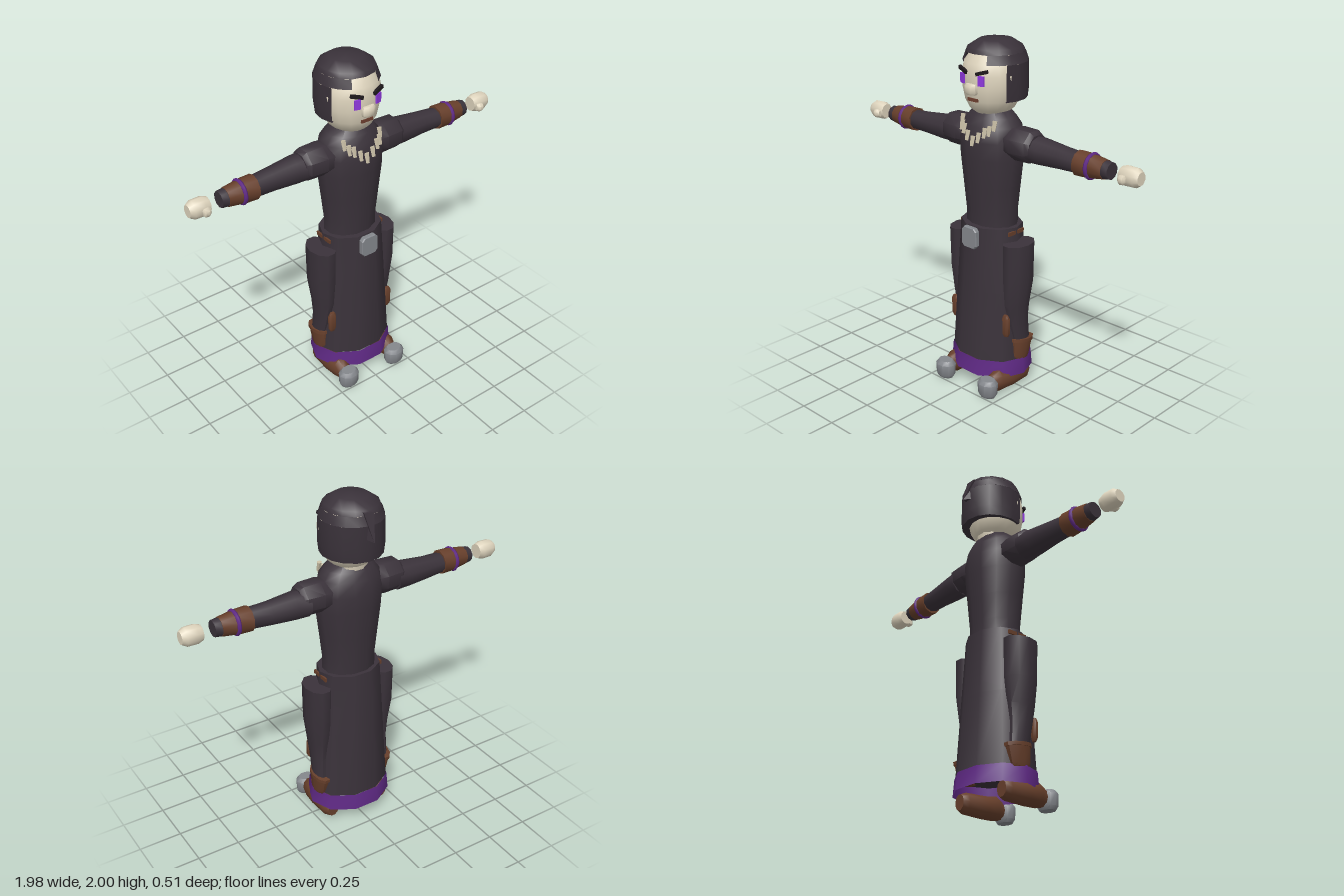
import * as THREE from 'three';
import { toCreasedNormals } from 'three/addons/utils/BufferGeometryUtils.js';

const mat = (name, color) => new THREE.MeshStandardMaterial({ name, color, side: THREE.DoubleSide });

// Closed skin through horizontal ellipses [y, rx, rz, cx, cz]
function loft(rings, n = 12, caps = true) {
  const pos = [], idx = [];
  for (const [y, rx, rz, cx = 0, cz = 0] of rings)
    for (let i = 0; i < n; i++) {
      const a = ((i + 0.5) / n) * Math.PI * 2;
      pos.push(cx + Math.sin(a) * rx, y, cz + Math.cos(a) * rz);
    }
  for (let j = 0; j < rings.length - 1; j++)
    for (let i = 0; i < n; i++) {
      const k = (i + 1) % n, a = j * n + i, b = j * n + k;
      idx.push(a, b, b + n, a, b + n, a + n);
    }
  if (caps) {
    const top = (rings.length - 1) * n;
    for (let i = 1; i < n - 1; i++) idx.push(0, i + 1, i, top, top + i, top + i + 1);
  }
  const g = new THREE.BufferGeometry();
  g.setAttribute('position', new THREE.Float32BufferAttribute(pos, 3));
  g.setIndex(idx);
  return toCreasedNormals(g, 0.82);
}

export function createModel() {
  const root = new THREE.Group();
  root.name = 'robedFigure';
  const cloth = mat('darkCloth', 0x3a323a), skin = mat('paleSkin', 0xded4bd);
  const purple = mat('purpleTrim', 0x602a86), eyeMat = mat('violetEye', 0x9038e0);
  const leather = mat('brownLeather', 0x673f2b), metal = mat('greyMetal', 0x84878c);
  const brow = mat('browBlack', 0x1e181c), lip = mat('lipBrown', 0x6e4030);
  const bone = mat('bone', 0xc9bfa6);

  const add = (name, geo, material, x = 0, y = 0, z = 0, parent = root) => {
    const m = new THREE.Mesh(geo, material);
    m.name = name;
    m.position.set(x, y, z);
    parent.add(m);
    return m;
  };
  const box = (w, h, d) => new THREE.BoxGeometry(w, h, d);

  // Robe
  add('torso', loft([
    [0.95, 0.16, 0.125], [1.05, 0.158, 0.128], [1.2, 0.175, 0.14], [1.36, 0.195, 0.152],
    [1.46, 0.198, 0.155], [1.54, 0.18, 0.14], [1.585, 0.145, 0.115], [1.625, 0.1, 0.085],
  ]), cloth, 0, 0, -0.01);
  add('skirt', loft([[0.185, 0.24, 0.198], [0.6, 0.212, 0.176], [0.975, 0.187, 0.155]], 10), cloth, 0, 0, -0.006);
  add('skirtTrim', loft([[0.09, 0.252, 0.213], [0.188, 0.245, 0.203]], 10, false), purple, 0, 0, -0.006);

  // Belt buckle with cut corners
  const b = new THREE.Shape([[-0.05, -0.04], [-0.035, -0.057], [0.035, -0.057], [0.05, -0.04],
    [0.05, 0.04], [0.035, 0.057], [-0.035, 0.057], [-0.05, 0.04]].map(p => new THREE.Vector2(...p)));
  add('buckle', new THREE.ExtrudeGeometry(b, {
    depth: 0.02, bevelSize: 0.004, bevelThickness: 0.006, bevelSegments: 1,
  }), metal, 0, 0.917, 0.156);

  // Head and neck
  add('neck', loft([[1.55, 0.09, 0.09], [1.66, 0.1, 0.11]]), skin, 0, 0, -0.02);
  add('head', loft([
    [1.6, 0.085, 0.09], [1.63, 0.12, 0.125], [1.68, 0.148, 0.15], [1.75, 0.166, 0.162],
    [1.82, 0.168, 0.163], [1.88, 0.152, 0.156], [1.94, 0.11, 0.11],
  ], 16), skin, 0, 0, -0.01);
  add('nose', loft([[-0.03, 0.034, 0.018], [-0.018, 0.042, 0.026], [0.015, 0.042, 0.026], [0.028, 0.034, 0.016]], 8),
    skin, 0, 1.75, 0.152);
  add('mouth', box(0.072, 0.018, 0.012), lip, 0, 1.69, 0.139);

  // Hair: crown, fringe and long back, each a part turn
  const hairPart = (name, pts, open, seg) => {
    const g = new THREE.LatheGeometry(pts.map(p => new THREE.Vector2(...p)), seg, open, Math.PI * 2 - 2 * open);
    add(name, toCreasedNormals(g, 0.82), cloth, 0, 0, -0.035).scale.z = 1.04;
  };
  hairPart('hairCrown', [[0.12, 1.93], [0.158, 1.93], [0.148, 1.955], [0.09, 1.993], [0, 2]], 0, 14);
  hairPart('hairFringe', [[0.12, 1.885], [0.175, 1.88], [0.158, 1.93]], 0.5, 14);
  hairPart('hairBack', [[0.12, 1.69], [0.17, 1.68], [0.177, 1.74], [0.175, 1.88]], 1.1, 10);
  const tuft = new THREE.Shape([[-0.17, 1.95], [-0.2, 1.945], [-0.252, 1.8], [-0.2, 1.81]]
    .map(p => new THREE.Vector2(...p)));
  const tg = new THREE.ExtrudeGeometry(tuft, { depth: 0.05, bevelEnabled: false });
  const tp = tg.attributes.position;
  for (let i = 0; i < tp.count; i++) // pinch the tuft to a rear edge
    tp.setZ(i, (tp.getZ(i) - 0.025) * (tp.getX(i) < -0.24 ? 0.05 : 1.2));
  tg.rotateY(-Math.PI / 2);
  tg.computeVertexNormals();
  add('hairTuft', tg, cloth);

  // Tooth necklace in a V
  const teeth = [[0, 1.468, 0.146], [0.04, 1.492, 0.143], [0.075, 1.522, 0.132], [0.1, 1.535, 0.122], [0.118, 1.562, 0.1]];
  teeth.forEach(([x, y, z], i) => {
    for (const s of i ? [1, -1] : [1])
      add('necklaceTooth', loft([[-0.03, 0.011, 0.009], [0.025, 0.015, 0.013]], 6), bone, s * x, y, z)
        .rotation.set(-0.25, 0, 0);
  });

  for (const s of [1, -1]) {
    const side = s > 0 ? 'left' : 'right';

    // Eyes and slanted brows
    add(side + 'Eye', box(0.036, 0.054, 0.009), eyeMat, s * 0.067, 1.8, 0.148).rotation.y = s * 0.25;
    add(side + 'Brow', box(0.072, 0.018, 0.016), brow, s * 0.068, 1.843, 0.143).rotation.set(0, s * 0.25, s * 0.28);

    // Arm, lofted upright then swung out to the side
    const arm = new THREE.Group();
    arm.name = side + 'Arm';
    arm.position.set(0, 1.44, -0.012);
    arm.rotation.z = -s * Math.PI / 2;
    root.add(arm);
    // local x points down (left) or up (right), so height offsets take -s
    const limb = (name, rings, m, n = 10) =>
      add(name, loft(rings.map(([y, r, q, up = 0, z = 0]) => [y, r, q, -s * up, z]), n), m, 0, 0, 0, arm);
    limb('shoulder', [[0.15, 0.085, 0.09, 0.02], [0.2, 0.094, 0.1, 0.02], [0.3, 0.092, 0.092, 0.02], [0.322, 0.07, 0.07, 0.02]], cloth, 8);
    limb('sleeve', [[0.28, 0.077, 0.085, 0.005, -0.01], [0.36, 0.074, 0.08, 0.003, -0.01],
      [0.5, 0.063, 0.066, 0, -0.008], [0.62, 0.056, 0.06]], cloth);
    limb('upperCuff', [[0.605, 0.069, 0.068], [0.695, 0.067, 0.064]], leather);
    limb('lowerCuff', [[0.69, 0.065, 0.062], [0.775, 0.052, 0.052]], leather);
    limb('wrist', [[0.77, 0.05, 0.05], [0.812, 0.045, 0.046]], cloth);
    const ring = add('wristRing', new THREE.TorusGeometry(0.061, 0.012, 6, 16), purple, 0, 0.69, 0, arm);
    ring.rotation.x = Math.PI / 2;
    limb('hand', [[0.875, 0.043, 0.04], [0.905, 0.054, 0.048], [0.965, 0.052, 0.048], [0.99, 0.036, 0.034]], skin, 10);
    limb('thumb', [[0.886, 0.018, 0.012, -0.01, 0.045], [0.9, 0.027, 0.022, -0.01, 0.048],
      [0.922, 0.025, 0.02, -0.01, 0.048], [0.93, 0.015, 0.012, -0.01, 0.045]], skin, 8);

    // Leg outside the skirt
    add(side + 'Leg', loft([
      [0.27, 0.034, 0.06, s * 0.212, -0.028], [0.42, 0.044, 0.072, s * 0.204, -0.006],
      [0.52, 0.058, 0.086, s * 0.2, 0], [0.67, 0.075, 0.102, s * 0.204, -0.003], [0.895, 0.074, 0.108, s * 0.206, -0.003],
    ], 10), cloth);
    add(side + 'KneePad', loft([[-0.065, 0.016, 0.01], [-0.045, 0.026, 0.018], [0.045, 0.026, 0.018], [0.065, 0.016, 0.01]], 8),
      leather, s * 0.2, 0.41, 0.09);
    const boot = add(side + 'BootTop', loft([[-0.07, 0.034, 0.055], [-0.05, 0.038, 0.066], [0.045, 0.046, 0.08]], 10),
      leather, s * 0.21, 0.25, -0.026);
    boot.rotation.x = -0.12;
    add('bootRim', loft([[0.036, 0.05, 0.086], [0.056, 0.05, 0.086]], 10), leather, 0, 0, 0, boot);
    add(side + 'BeltEnd', box(0.01, 0.022, 0.12), leather, s * 0.182, 0.946, -0.006);

    // Foot runs front to back, with a metal toe cap
    const foot = loft([[-0.11, 0.036, 0.045], [-0.08, 0.055, 0.058], [0.05, 0.062, 0.062],
      [0.13, 0.056, 0.068, 0, -0.008], [0.175, 0.04, 0.05]], 10);
    foot.rotateX(Math.PI / 2);
    add(side + 'Foot', foot, leather, s * 0.17, 0.062, 0);
    add(side + 'ToeCap', loft([[0, 0.048, 0.036], [0.02, 0.06, 0.05], [0.085, 0.063, 0.053], [0.107, 0.046, 0.036]], 10),
      metal, s * 0.17, 0, 0.208);
  }
  return root;
}
